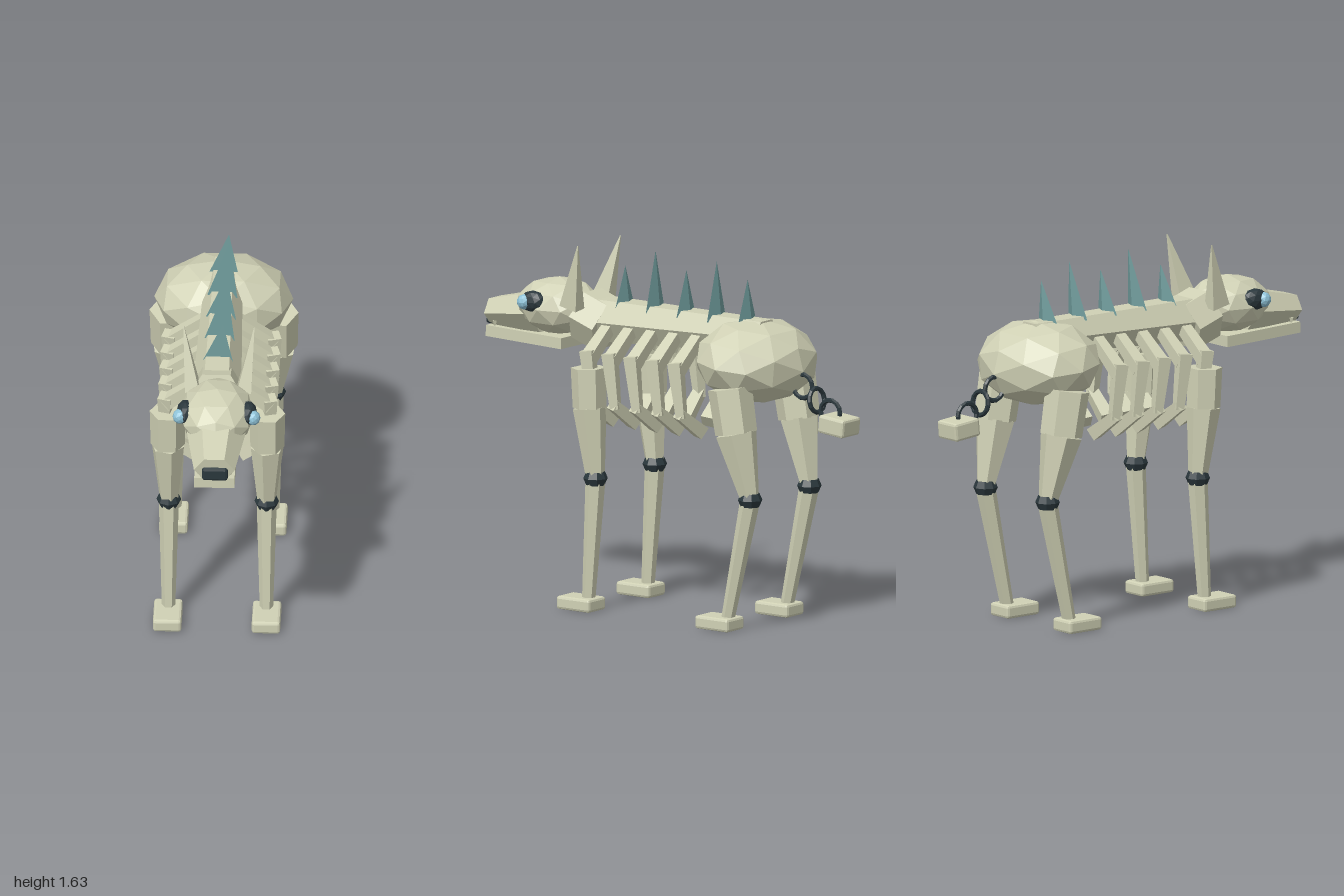
import * as THREE from 'three';
import { RoundedBoxGeometry } from 'three/addons/geometries/RoundedBoxGeometry.js';

const mat = (name, color) => {
  const m = new THREE.MeshStandardMaterial({ color });
  m.name = name;
  return m;
};

// faceted normals for the low-poly look
const flat = (geo) => {
  const g = geo.index ? geo.toNonIndexed() : geo;
  g.computeVertexNormals();
  return g;
};

export function createModel() {
  const bone = mat('bone', 0xd0d1b5);
  const dark = mat('dark joint', 0x2b383d);
  const teal = mat('spike teal', 0x6f9b9b);
  const blue = mat('eye blue', 0x8fc3d8);

  const model = new THREE.Group();
  model.name = 'boneHound';
  const body = new THREE.Group();
  body.name = 'body';
  body.position.x = 0.01;
  model.add(body);
  const head = new THREE.Group();
  head.name = 'head';
  head.position.x = 0.01;
  body.add(head);

  const add = (parent, name, geo, material, x, y, z) => {
    const mesh = new THREE.Mesh(flat(geo), material);
    mesh.name = name;
    mesh.position.set(x, y, z);
    parent.add(mesh);
    return mesh;
  };

  // tapered prism between two points, radius ra at a and rb at b
  const limb = (parent, name, a, b, ra, rb, sides) => {
    const p = new THREE.Vector3(...a), q = new THREE.Vector3(...b);
    const dir = q.clone().sub(p), len = dir.length();
    const geo = new THREE.CylinderGeometry(rb, ra, len, sides, 1, false, Math.PI / sides);
    const mid = p.add(q).multiplyScalar(0.5);
    const mesh = add(parent, name, geo, bone, mid.x, mid.y, mid.z);
    mesh.quaternion.setFromUnitVectors(new THREE.Vector3(0, 1, 0), dir.normalize());
    return mesh;
  };

  const ball = (parent, name, material, x, y, z, rx, ry, rz, detail) =>
    add(parent, name, new THREE.IcosahedronGeometry(1, detail).scale(rx, ry, rz), material, x, y, z);

  const block = (parent, name, material, w, h, d, x, y, z) =>
    add(parent, name, new RoundedBoxGeometry(w, h, d, 1, 0.012), material, x, y, z);

  // spine, hips and neck
  limb(body, 'spine', [0, 1.302, -0.52], [0, 1.279, 0.42], 0.083, 0.11, 6);
  ball(body, 'hips', bone, 0, 1.19, -0.465, 0.31, 0.19, 0.26, 1).rotation.x = -0.1;
  limb(body, 'neck', [0, 1.25, 0.36], [0, 1.295, 0.49], 0.128, 0.128, 6);

  // row of back spikes
  [0.19, 0.28, 0.21, 0.27, 0.205].forEach((h, i) => {
    const geo = new THREE.ConeGeometry(0.078, h, 3).rotateY(Math.PI).scale(1, 1, 0.25).translate(0, h / 2, 0);
    const spike = add(body, 'backSpike', geo, teal, 0.002, 1.35, 0.265 - i * 0.171);
    spike.rotation.set(-0.06, 0, -0.11);
  });

  // skull, snout, jaw and nose
  ball(head, 'skull', bone, 0, 1.315, 0.63, 0.168, 0.13, 0.21, 1);
  const snout = limb(head, 'snout', [0, 1.285, 0.7], [0, 1.25, 0.985], 0.105, 0.07, 6);
  snout.scale.x = 1.3;
  const jaw = add(head, 'jaw', new THREE.BoxGeometry(0.18, 0.05, 0.42), bone, 0, 1.167, 0.765);
  jaw.rotation.x = -0.03;
  block(head, 'nose', dark, 0.115, 0.065, 0.05, 0.003, 1.232, 0.975);

  for (const s of [1, -1]) {
    // face details
    ball(head, 'eyeSocket', dark, s * 0.14, 1.347, 0.672, 0.04, 0.05, 0.065, 1);
    ball(head, 'eye', blue, s * 0.163, 1.345, 0.705, 0.033, 0.035, 0.033, 1);
    const ear = limb(head, 'ear', [s * 0.115, 1.34, 0.475], [s * 0.157, 1.63, 0.41], 0.065, 0.003, 4);
    ear.scale.x = 0.7;
    const tooth = add(head, 'tooth', new THREE.ConeGeometry(0.012, 0.04, 4), bone, s * 0.07, 1.2, 0.94);
    tooth.rotation.x = Math.PI;

    // five bent ribs a side
    for (let i = 0; i < 5; i++) {
      const z = 0.305 - i * 0.123;
      const rib = new THREE.Group();
      rib.name = 'rib';
      body.add(rib);
      limb(rib, 'upperRib', [s * 0.07, 1.265, z], [s * 0.235, 1.14, z - 0.005], 0.034, 0.042, 4);
      limb(rib, 'middleRib', [s * 0.232, 1.18, z], [s * 0.228, 0.93, z - 0.03], 0.042, 0.028, 4);
      limb(rib, 'lowerRib', [s * 0.238, 0.95, z - 0.022], [s * 0.105, 0.852, z - 0.045], 0.034, 0.042, 4);
    }

    // legs: hip point, mid-thigh, knee, ankle, foot
    const legs = [
      { n: 'front', hip: [0.222, 1.1, 0.308], mid: [0.222, 0.92, 0.302], knee: [0.218, 0.6, 0.272], ankle: [0.218, 0.05, 0.31], foot: 0.352, r: 0.08 },
      { n: 'hind', hip: [0.232, 1.1, -0.49], mid: [0.232, 0.9, -0.525], knee: [0.218, 0.6, -0.592], ankle: [0.218, 0.05, -0.468], foot: -0.422, r: 0.1 },
    ];
    for (const L of legs) {
      const at = ([x, y, z]) => [s * x, y, z];
      limb(body, L.n + 'UpperLeg', at(L.hip), at(L.mid), L.r, L.r * 0.95, 6);
      limb(body, L.n + 'Thigh', at(L.mid), at(L.knee), L.r * 0.95, 0.042, 6);
      limb(body, L.n + 'Shin', at(L.knee), at(L.ankle), 0.045, 0.03, 6);
      const ring = new THREE.TorusGeometry(0.036, 0.019, 5, 8).rotateX(Math.PI / 2).scale(1, 1.7, 1);
      add(body, L.n + 'Knee', ring, dark, s * L.knee[0], 0.603, L.knee[2]);
      block(body, L.n + 'Foot', bone, 0.127, 0.06, 0.185, s * 0.22, 0.03, L.foot);
    }
  }

  // chain tail with alternating links and a weight
  const link = (y, z, rx, ry) => {
    const t = add(body, 'tailLink', new THREE.TorusGeometry(0.054, 0.011, 6, 14), dark, 0, y, z);
    t.rotation.set(rx, ry, 0);
  };
  link(1.1, -0.72, 0, Math.PI / 2);
  link(1.045, -0.8, 0.15, 0);
  link(1.0, -0.875, 0, Math.PI / 2);
  block(body, 'tailWeight', bone, 0.132, 0.083, 0.142, 0, 0.948, -0.924).rotation.x = -0.1;

  return model;
}
